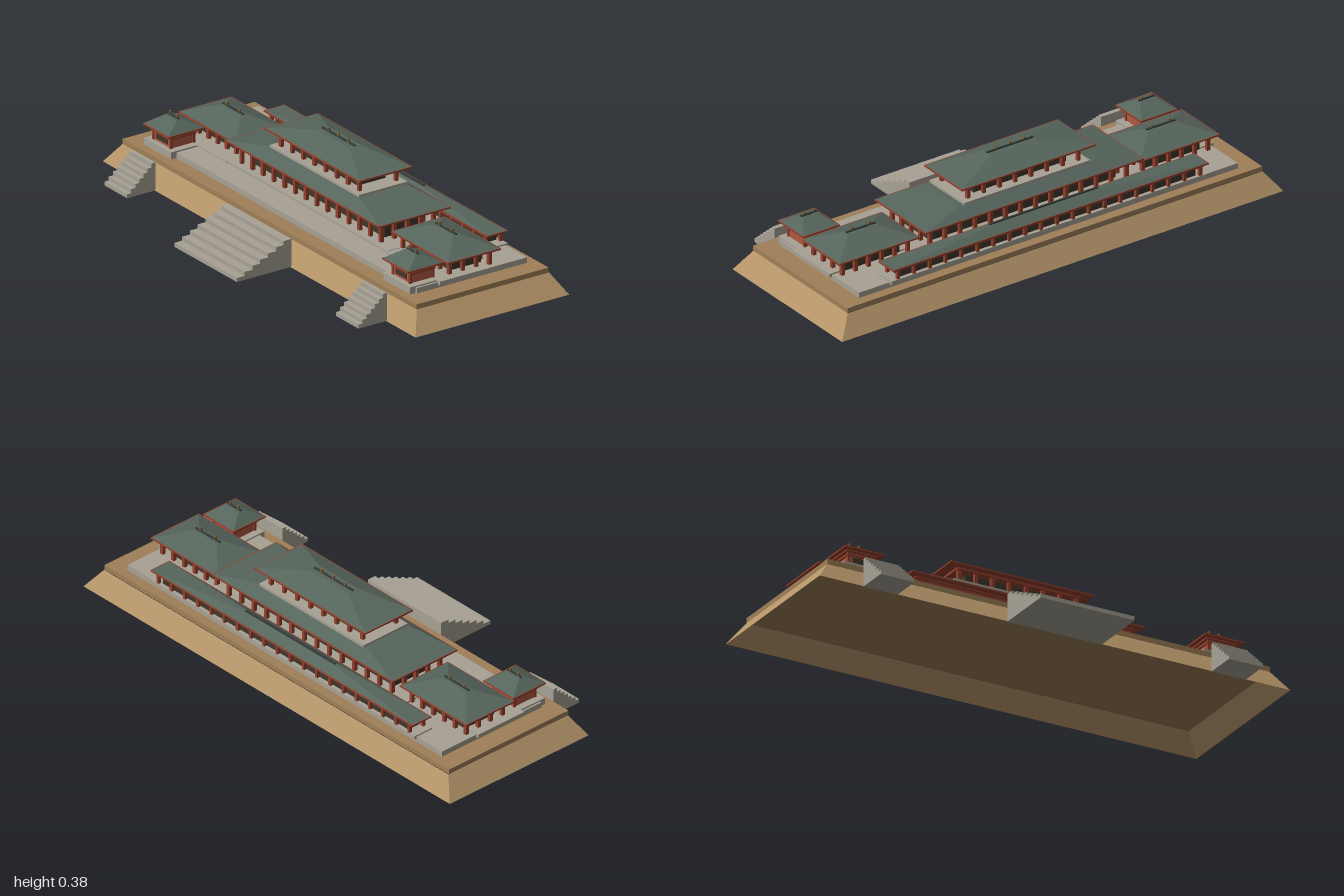
import * as THREE from 'three';

const mat = (name, color, side = THREE.FrontSide) => {
  const m = new THREE.MeshStandardMaterial({ color, side });
  m.name = name;
  return m;
};

export function createModel() {
  const earth = mat('earth', 0xb59468, THREE.DoubleSide);
  const darkEarth = mat('dark earth', 0xa08058);
  const stone = mat('stone', 0xa8a295);
  const tile = mat('roof tile', 0x56655c);
  const ridgeDark = mat('dark ridge', 0x333b37);
  const red = mat('red timber', 0x96402c);
  const plaster = mat('red plaster', 0xb05a44);
  const wallDark = mat('dark wall', 0x40362b);
  const bronze = mat('bronze', 0x7d6238);

  const model = new THREE.Group();
  model.name = 'palaceComplex';

  const add = (parent, name, geometry, material) => {
    const mesh = new THREE.Mesh(geometry, material);
    mesh.name = name;
    parent.add(mesh);
    return mesh;
  };

  // Box given by its centre in plan, half sizes and bottom/top heights
  const block = (parent, name, material, x, z, hx, hz, y0, y1) => {
    const mesh = add(parent, name, new THREE.BoxGeometry(hx * 2, y1 - y0, hz * 2), material);
    mesh.position.set(x, (y0 + y1) / 2, z);
    return mesh;
  };

  // Four sloping sides between two rectangles, optionally with a flat top
  const hip = (bx, bz, tx, tz, y0, y1, top = true) => {
    const ring = (hx, hz, y) => [[-hx, y, hz], [hx, y, hz], [hx, y, -hz], [-hx, y, -hz]];
    const a = ring(bx, bz, y0), b = ring(tx, tz, y1), pos = [];
    const quad = (p, q, r, s) => pos.push(...p, ...q, ...r, ...p, ...r, ...s);
    for (let i = 0; i < 4; i++) {
      const j = (i + 1) % 4;
      quad(a[i], a[j], b[j], b[i]);
    }
    if (top) quad(...b);
    const g = new THREE.BufferGeometry();
    g.setAttribute('position', new THREE.Float32BufferAttribute(pos, 3));
    g.computeVertexNormals();
    return g;
  };

  // Hipped roof: red eave board, tiled slopes, ridge bar and finials
  const roof = (parent, { hx, hz, tx, tz, y0, y1, finials = 0, ridge = true }) => {
    block(parent, 'eaveBoard', red, 0, 0, hx, hz, y0, y0 + 0.006);
    add(parent, 'roofSlopes', hip(hx - 0.003, hz - 0.003, tx, tz, y0 + 0.006, y1), tile);
    if (ridge) block(parent, 'ridgeBar', ridgeDark, 0, 0, tx, 0.004, y1, y1 + 0.005);
    for (let i = 0; i < finials; i++) {
      const x = (i - (finials - 1) / 2) * tx * 1.2 / Math.max(1, finials - 1);
      block(parent, 'ridgeFinial', bronze, x, 0, 0.004, 0.004, y1, y1 + 0.016);
    }
  };

  // Columns around a rectangle: nx along the long sides, nz along the ends
  const colonnade = (parent, hx, hz, nx, nz, r, y0, y1) => {
    const column = (x, z) => block(parent, 'column', red, x, z, r, r, y0, y1);
    for (let i = 0; i < nx; i++) {
      const x = -hx + (2 * hx * i) / (nx - 1);
      column(x, hz);
      column(x, -hz);
    }
    for (let i = 1; i < nz - 1; i++) {
      const z = -hz + (2 * hz * i) / (nz - 1);
      column(hx, z);
      column(-hx, z);
    }
  };

  const building = (name, x, z) => {
    const g = new THREE.Group();
    g.name = name;
    g.position.set(x, 0, z);
    model.add(g);
    return g;
  };

  // Earth mound, hollow underneath, and its top slab
  const mound = add(model, 'earthMound', hip(1, 0.346, 0.94, 0.298, 0, 0.08, false), earth);
  mound.position.z = -0.12;
  block(model, 'moundSlab', darkEarth, 0, -0.118, 0.94, 0.298, 0.08, 0.1);

  // Stone terraces
  block(model, 'terrace', stone, 0, -0.128, 0.858, 0.248, 0.1, 0.122);
  block(model, 'hallPlatform', stone, 0, -0.125, 0.53, 0.147, 0.115, 0.13);
  block(model, 'corridorPlatform', stone, 0, -0.343, 0.72, 0.043, 0.113, 0.128);

  // Front staircases
  const stairs = (name, x, hx, depth) => {
    const g = building(name, x, 0.222);
    const n = 7, d = depth / n;
    for (let i = 0; i < n; i++) {
      block(g, 'step', stone, 0, d * (n - i - 0.5), hx, d / 2, 0, (0.112 * (i + 1)) / n);
    }
  };
  stairs('mainStairs', 0, 0.2, 0.245);

  // Main hall, lower storey
  const hall = building('mainHall', 0, -0.128);
  block(hall, 'hallWall', wallDark, 0, 0, 0.42, 0.085, 0.13, 0.205);
  colonnade(hall, 0.445, 0.118, 14, 5, 0.007, 0.13, 0.2);
  block(hall, 'hallBeam', red, 0, 0, 0.455, 0.128, 0.194, 0.208);
  block(hall, 'hallBracket', red, 0, 0, 0.465, 0.137, 0.206, 0.213);
  roof(hall, { hx: 0.495, hz: 0.162, tx: 0.31, tz: 0.112, y0: 0.212, y1: 0.247, ridge: false });

  // Main hall, upper storey
  const upper = building('upperHall', 0, -0.132);
  block(upper, 'upperTerrace', stone, 0, 0, 0.285, 0.11, 0.243, 0.257);
  block(upper, 'upperWall', wallDark, 0, 0, 0.21, 0.063, 0.257, 0.312);
  colonnade(upper, 0.25, 0.082, 8, 2, 0.007, 0.257, 0.31);
  block(upper, 'upperBeam', red, 0, 0, 0.262, 0.094, 0.306, 0.316);
  roof(upper, { hx: 0.303, hz: 0.12, tx: 0.105, tz: 0.025, y0: 0.315, y1: 0.362, finials: 3 });

  // Rear corridor
  const corridor = building('rearCorridor', 0, -0.345);
  block(corridor, 'corridorWall', wallDark, 0, 0, 0.67, 0.026, 0.128, 0.167);
  colonnade(corridor, 0.685, 0.033, 20, 2, 0.006, 0.128, 0.166);
  block(corridor, 'corridorBeam', red, 0, 0, 0.695, 0.04, 0.162, 0.17);
  roof(corridor, { hx: 0.715, hz: 0.047, tx: 0.245, tz: 0.008, y0: 0.169, y1: 0.199 });

  // Mirrored wings, corner pavilions and side stairs
  for (const [side, s] of [['left', 1], ['right', -1]]) {
    stairs(side + 'Stairs', s * 0.74, 0.072, 0.128);

    block(model, side + 'WingPlatform', stone, s * 0.68, -0.09, 0.19, 0.115, 0.113, 0.128);
    const wing = building(side + 'Wing', s * 0.68, -0.137);
    block(wing, 'wingWall', wallDark, 0, 0, 0.125, 0.07, 0.122, 0.178);
    colonnade(wing, 0.148, 0.09, 6, 4, 0.007, 0.12, 0.178);
    block(wing, 'wingBeam', red, 0, 0, 0.158, 0.1, 0.172, 0.184);
    roof(wing, { hx: 0.182, hz: 0.12, tx: 0.066, tz: 0.015, y0: 0.183, y1: 0.232, finials: 2 });

    block(model, side + 'PavilionPlatform', stone, s * 0.765, 0.075, 0.085, 0.07, 0.1, 0.128);
    const pavilion = building(side + 'Pavilion', s * 0.765, 0.072);
    block(pavilion, 'pavilionWall', plaster, 0, 0, 0.055, 0.052, 0.126, 0.18);
    block(pavilion, 'pavilionOpening', wallDark, 0, 0.052, 0.036, 0.002, 0.138, 0.16);
    block(pavilion, 'pavilionRail', red, 0, 0, 0.062, 0.058, 0.163, 0.172);
    block(pavilion, 'pavilionBracket', red, 0, 0, 0.067, 0.064, 0.178, 0.186);
    colonnade(pavilion, 0.054, 0.051, 2, 2, 0.005, 0.126, 0.18);
    roof(pavilion, { hx: 0.083, hz: 0.081, tx: 0.036, tz: 0.012, y0: 0.184, y1: 0.225, finials: 2 });
  }

  return model;
}
